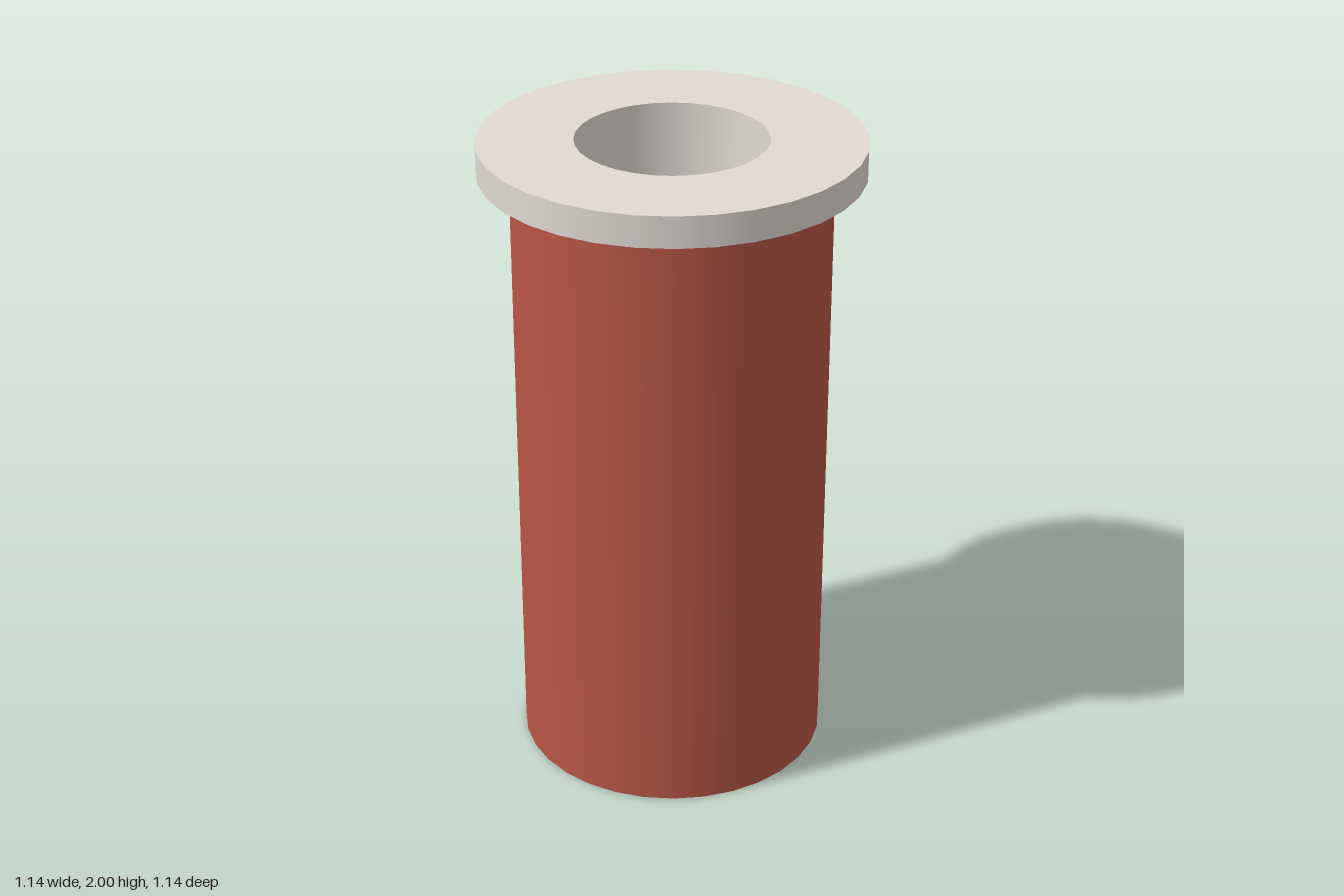
import * as THREE from 'three';

const SEGMENTS = 32;
const UNIT = 2 / 21; // the model is 21 units tall
const OUTER = 5 * UNIT, FLANGE = 6 * UNIT, BORE = 3 * UNIT;
const HEIGHT = 2, FLANGE_BASE = 20 * UNIT;

export function createModel() {
  const group = new THREE.Group();
  const red = new THREE.MeshStandardMaterial({ color: 0xb85646, side: THREE.DoubleSide });
  const pale = new THREE.MeshStandardMaterial({ color: 0xe0dad3, side: THREE.DoubleSide });

  const add = (name, geometry, material, y) => {
    const mesh = new THREE.Mesh(geometry, material);
    mesh.name = name;
    mesh.position.y = y;
    group.add(mesh);
    return mesh;
  };

  // Thin open tube between two heights
  const tube = (name, radius, y0, y1, material) =>
    add(name, new THREE.CylinderGeometry(radius, radius, y1 - y0, SEGMENTS, 1, true), material, (y0 + y1) / 2);

  // Flat ring facing up (+1) or down (-1)
  const ring = (name, y, facing) => {
    const geometry = new THREE.RingGeometry(BORE, FLANGE, SEGMENTS, 1);
    geometry.rotateX(-facing * Math.PI / 2);
    return add(name, geometry, pale, y);
  };

  // Outer sleeve, open at the bottom
  tube('outerSleeve', OUTER, 0, FLANGE_BASE, red);

  // Inner bore running the full height
  tube('innerBore', BORE, 0, HEIGHT, pale);

  // Top flange: rim, upper face and underside
  tube('flangeRim', FLANGE, FLANGE_BASE, HEIGHT, pale);
  ring('flangeTop', HEIGHT, 1);
  ring('flangeUnderside', FLANGE_BASE, -1);

  return group;
}
